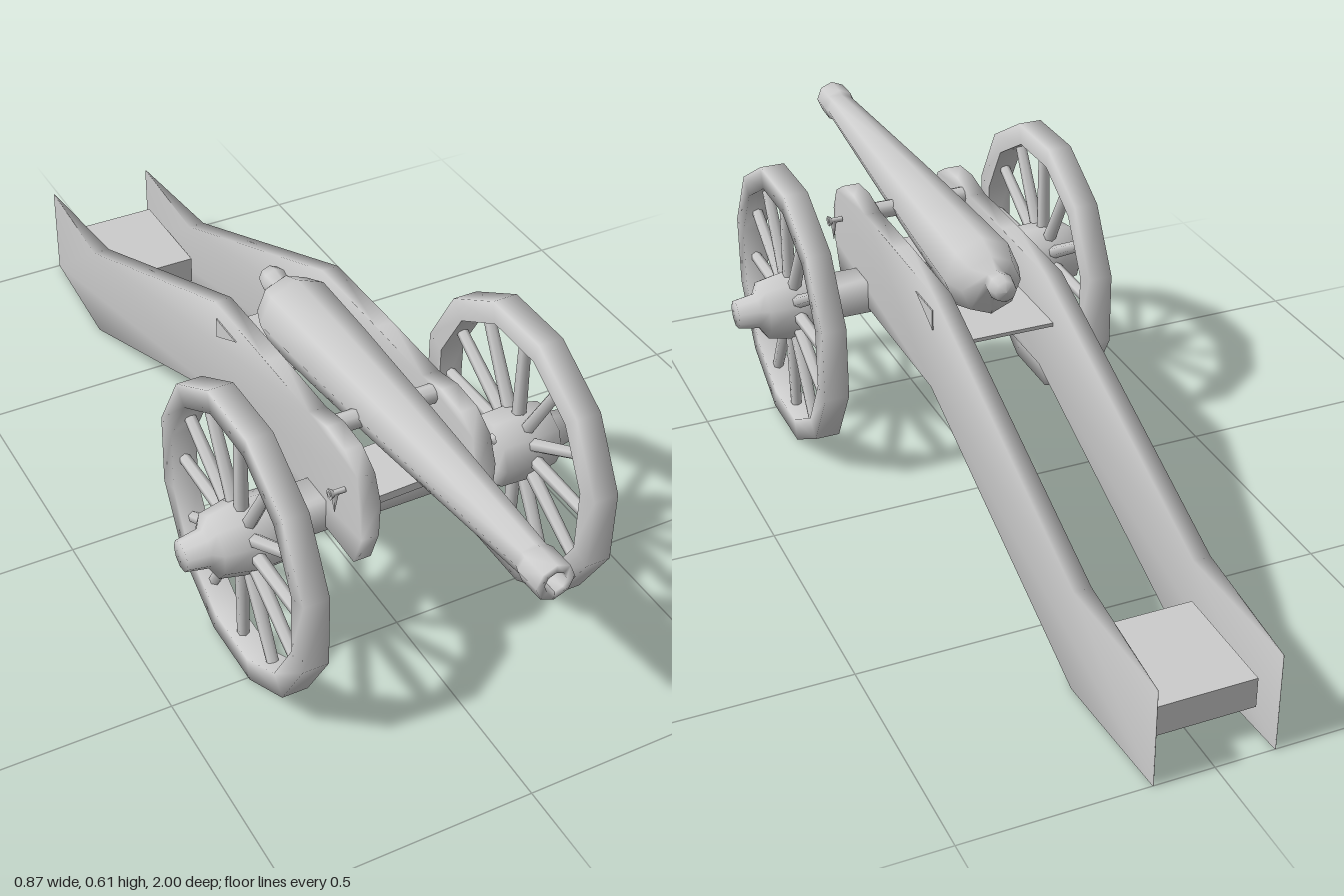
import * as THREE from 'three';
import { mergeVertices } from 'three/addons/utils/BufferGeometryUtils.js';

const AXLE_Y = 0.308, AXLE_Z = 0.425, CHEEK_X = 0.1235;

export function createModel() {
  const model = new THREE.Group();
  const material = new THREE.MeshStandardMaterial({ color: 0xcccccc, side: THREE.DoubleSide });

  const add = (parent, name, geometry, x = 0, y = 0, z = 0) => {
    const mesh = new THREE.Mesh(geometry, material);
    mesh.name = name;
    mesh.position.set(x, y, z);
    parent.add(mesh);
    return mesh;
  };
  // Lathe from [radius, height] pairs
  const lathe = (pairs, sides, start = 0) =>
    new THREE.LatheGeometry(pairs.map(([r, h]) => new THREE.Vector2(r, h)), sides, start);
  // Shares corners so that the shading flows around the edges
  const soften = (geometry) => {
    geometry.deleteAttribute('normal');
    geometry.deleteAttribute('uv');
    return mergeVertices(geometry, 1e-4);
  };

  // Barrel: eight-sided, level along its top, with a bore and a breech knob
  const barrel = lathe([
    [0, -0.07], [0.024, -0.065], [0.03, -0.04], [0.025, -0.012], [0.066, 0.01], [0.084, 0.06],
    [0.076, 0.25], [0.062, 0.5], [0.035, 0.93], [0.04, 0.945], [0.039, 1],
    [0.022, 1], [0.02, 0.95], [0, 0.95],
  ], 8).rotateX(Math.PI / 2);
  const bp = barrel.attributes.position;
  for (let i = 0; i < bp.count; i++) {
    const z = bp.getZ(i);
    const centre = z < 0 ? 0.51 : 0.537 - 0.046 * (1 - z) / 0.95;
    bp.setY(i, bp.getY(i) + centre);
  }
  barrel.computeVertexNormals();
  add(model, 'barrel', barrel);
  add(model, 'trunnions', new THREE.CylinderGeometry(0.02, 0.02, 0.24, 8).rotateZ(Math.PI / 2), 0, 0.5, 0.42);

  // Carriage cheeks: side profile as [z, y], thinned to an edge at the tail
  const profile = [
    [0.565, 0.285], [0.592, 0.36], [0.595, 0.44], [0.57, 0.495], [0.52, 0.525], [0.45, 0.53],
    [0.38, 0.515], [0.2, 0.515], [-0.03, 0.51], [-0.7, 0.228], [-1, 0.217], [-1, 0.005],
    [-0.7, 0.005], [0, 0.285],
  ].map(([z, y]) => new THREE.Vector2(z, y));
  const cheek = soften(new THREE.ExtrudeGeometry(new THREE.Shape(profile), { depth: 0.037, bevelEnabled: false })
    .translate(0, 0, -0.0185).rotateY(-Math.PI / 2));
  const cp = cheek.attributes.position;
  for (let i = 0; i < cp.count; i++) if (cp.getZ(i) < -0.9) cp.setX(i, cp.getX(i) * 0.06);
  cheek.computeVertexNormals();

  // Small wedge end showing on the outside of each cheek
  const wedgeShape = new THREE.Shape([[0.07, 0.475], [-0.02, 0.475], [-0.02, 0.43]].map(([z, y]) => new THREE.Vector2(z, y)));
  const wedge = new THREE.ExtrudeGeometry(wedgeShape, { depth: 0.006, bevelEnabled: false })
    .translate(0, 0, -0.003).rotateY(-Math.PI / 2);

  for (const side of [1, -1]) {
    add(model, 'cheek', cheek, side * CHEEK_X);
    add(model, 'wedgeEnd', wedge, side * 0.1415);

    // Hook: short stub with a hanging tongue
    const hook = new THREE.Group();
    hook.name = 'hook';
    hook.position.set(side * 0.162, 0.44, 0.53);
    add(hook, 'hookStub', new THREE.CylinderGeometry(0.006, 0.006, 0.034, 6).rotateZ(Math.PI / 2));
    add(hook, 'hookCap', new THREE.CylinderGeometry(0.012, 0.008, 0.008, 6).rotateZ(-side * Math.PI / 2), side * 0.012);
    add(hook, 'hookTongue', new THREE.ConeGeometry(0.008, 0.05, 5).rotateX(Math.PI), side * 0.004, -0.025);
    model.add(hook);
  }

  // Cross members between the cheeks
  add(model, 'tailPlank', new THREE.BoxGeometry(0.215, 0.065, 0.25), 0, 0.1025, -0.825);
  add(model, 'breechPlank', new THREE.BoxGeometry(0.215, 0.008, 0.2), 0, 0.414, 0.03);
  add(model, 'frontPlank', new THREE.BoxGeometry(0.215, 0.018, 0.14), 0, 0.366, 0.44).rotation.z = 0.04;
  const axle = soften(new THREE.BoxGeometry(0.5, 0.076, 0.076));
  axle.computeVertexNormals();
  add(model, 'axle', axle, 0, 0.313, AXLE_Z - 0.01);

  // Wheels: twelve-sided rim, twelve spokes and a turned hub, axis along x
  const rim = lathe([
    [0.265, -0.027], [0.313, -0.027], [0.313, 0.027], [0.265, 0.027], [0.265, -0.027],
  ], 12, Math.PI / 12).rotateZ(-Math.PI / 2);
  const hub = lathe([
    [0, -0.083], [0.06, -0.083], [0.076, -0.068], [0.079, 0], [0.066, 0.065],
    [0.04, 0.08], [0.032, 0.127], [0, 0.127],
  ], 9).rotateZ(-Math.PI / 2);
  const spoke = new THREE.CylinderGeometry(0.012, 0.015, 0.22, 6).translate(0, 0.17, 0);
  for (const side of [1, -1]) {
    const wheel = new THREE.Group();
    wheel.name = side > 0 ? 'leftWheel' : 'rightWheel';
    wheel.position.set(side * 0.308, AXLE_Y, AXLE_Z);
    if (side < 0) wheel.rotation.y = Math.PI;
    add(wheel, 'rim', rim);
    add(wheel, 'hub', hub);
    for (let i = 0; i < 12; i++) add(wheel, 'spoke', spoke).rotation.x = (i * Math.PI) / 6;
    model.add(wheel);
  }
  return model;
}
